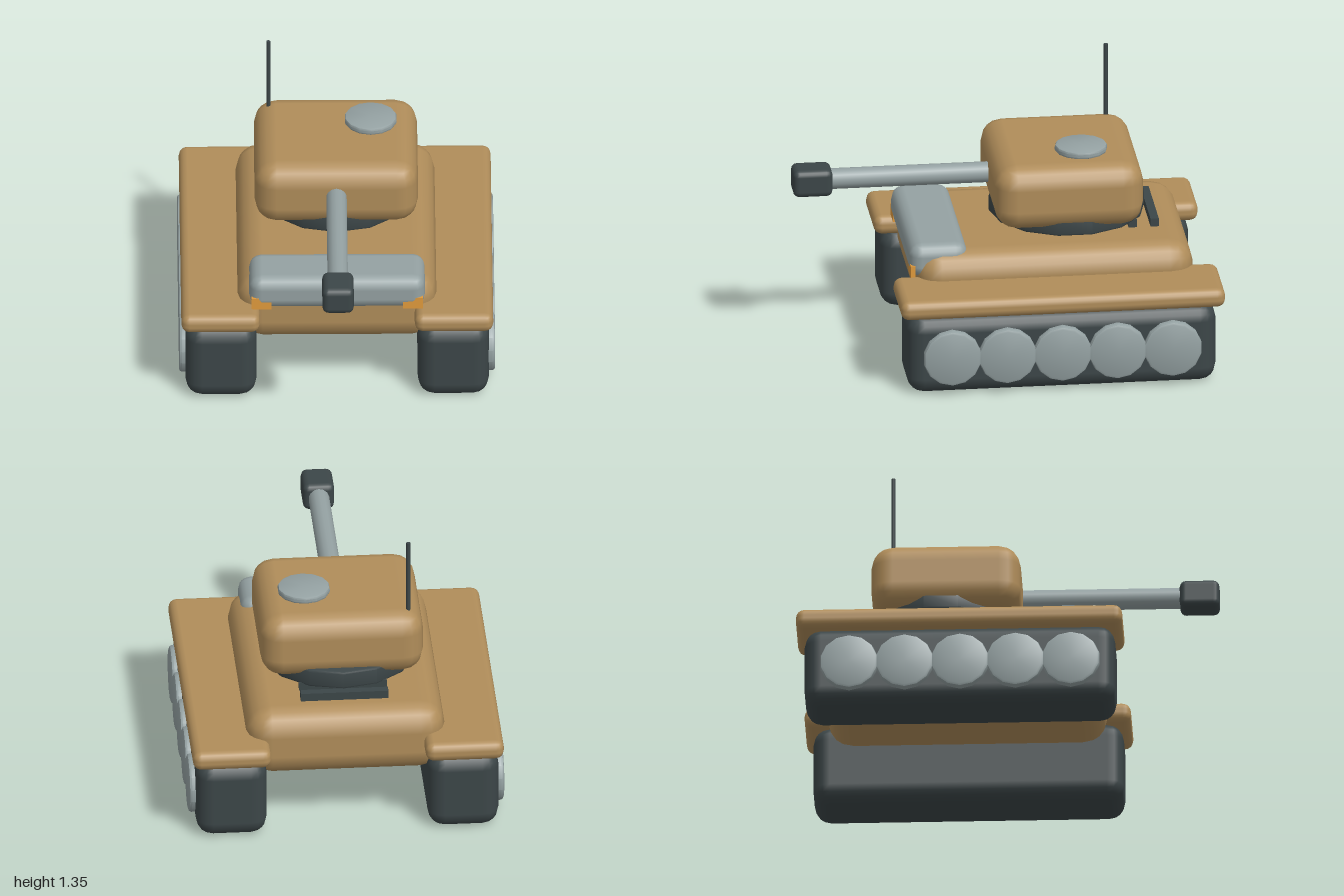
import * as THREE from 'three';
import { RoundedBoxGeometry } from 'three/addons/geometries/RoundedBoxGeometry.js';
import { toCreasedNormals } from 'three/addons/utils/BufferGeometryUtils.js';

const paint = (color) => new THREE.MeshStandardMaterial({ color });

export function createModel() {
  const model = new THREE.Group();
  const tan = paint(0xb08d5a);
  const dark = paint(0x3c4648);
  const steel = paint(0x94a1a2);
  const amber = paint(0xe09a3c);

  function add(name, geometry, material, x, y, z) {
    const mesh = new THREE.Mesh(geometry, material);
    mesh.name = name;
    mesh.position.set(x, y, z);
    model.add(mesh);
    return mesh;
  }

  // Soft-edged block given by its extents on each axis
  function block(name, material, [x0, x1], [y0, y1], [z0, z1], radius) {
    const geometry = new RoundedBoxGeometry(x1 - x0, y1 - y0, z1 - z0, 2, radius);
    return add(name, geometry, material, (x0 + x1) / 2, (y0 + y1) / 2, (z0 + z1) / 2);
  }

  // Fourteen-sided disc with a bevelled rim, axis along y
  function disc(radius, height, bevel, phi = 0) {
    const h = height / 2, b = bevel;
    const profile = [
      [0, -h], [radius - b, -h], [radius - 0.3 * b, -h + 0.3 * b], [radius, -h + b],
      [radius, h - b], [radius - 0.3 * b, h - 0.3 * b], [radius - b, h], [0, h],
    ].map(([x, y]) => new THREE.Vector2(x, y));
    return toCreasedNormals(new THREE.LatheGeometry(profile, 14, phi), 0.5);
  }

  // Hull and front plate
  block('hull', tan, [-0.475, 0.475], [0.27, 0.61], [-0.885, 0.45], 0.12);
  block('frontPlate', steel, [-0.42, 0.42], [0.475, 0.645], [0.2, 0.48], 0.06);

  // Running gear, fenders and lamps on both sides
  const wheel = disc(0.14, 0.07, 0.014, Math.PI / 2);
  for (const side of [-1, 1]) {
    const label = side > 0 ? 'left' : 'right';
    const span = (a, b) => (side > 0 ? [a, b] : [-b, -a]);
    block(label + 'Track', dark, span(0.385, 0.725), [0, 0.395], [-0.96, 0.525], 0.08);
    block(label + 'Fender', tan, span(0.37, 0.745), [0.39, 0.485], [-1, 0.56], 0.04);
    for (let i = 0; i < 5; i++) {
      const mesh = add(label + 'Wheel' + (i + 1), wheel, steel, side * 0.72, 0.195, 0.315 - i * 0.265);
      mesh.rotation.z = -side * Math.PI / 2;
    }
    add(label + 'Headlamp', new THREE.BoxGeometry(0.095, 0.06, 0.022), amber, side * 0.362, 0.513, 0.466);
  }

  // Engine deck grille bars
  for (let i = 0; i < 3; i++) {
    add('grilleBar' + (i + 1), new THREE.BoxGeometry(0.42, 0.04, 0.04), dark, 0, 0.633, -0.508 - i * 0.106);
  }

  // Turret with its ring, hatch and antenna
  add('turretRing', disc(0.374, 0.09, 0.01), dark, 0, 0.69, -0.32);
  block('turret', tan, [-0.39, 0.39], [0.675, 0.995], [-0.655, 0.06], 0.105);
  add('hatch', disc(0.126, 0.036, 0.012), steel, 0.167, 1.022, -0.37);
  add('antenna', new THREE.CylinderGeometry(0.01, 0.01, 0.4, 8), dark, -0.32, 1.15, -0.547);

  // Gun
  const gun = new THREE.CylinderGeometry(0.05, 0.05, 0.83, 14).rotateX(Math.PI / 2);
  add('gunBarrel', gun, steel, 0, 0.848, 0.415);
  block('muzzle', dark, [-0.075, 0.075], [0.78, 0.915], [0.81, 1], 0.03);

  return model;
}
